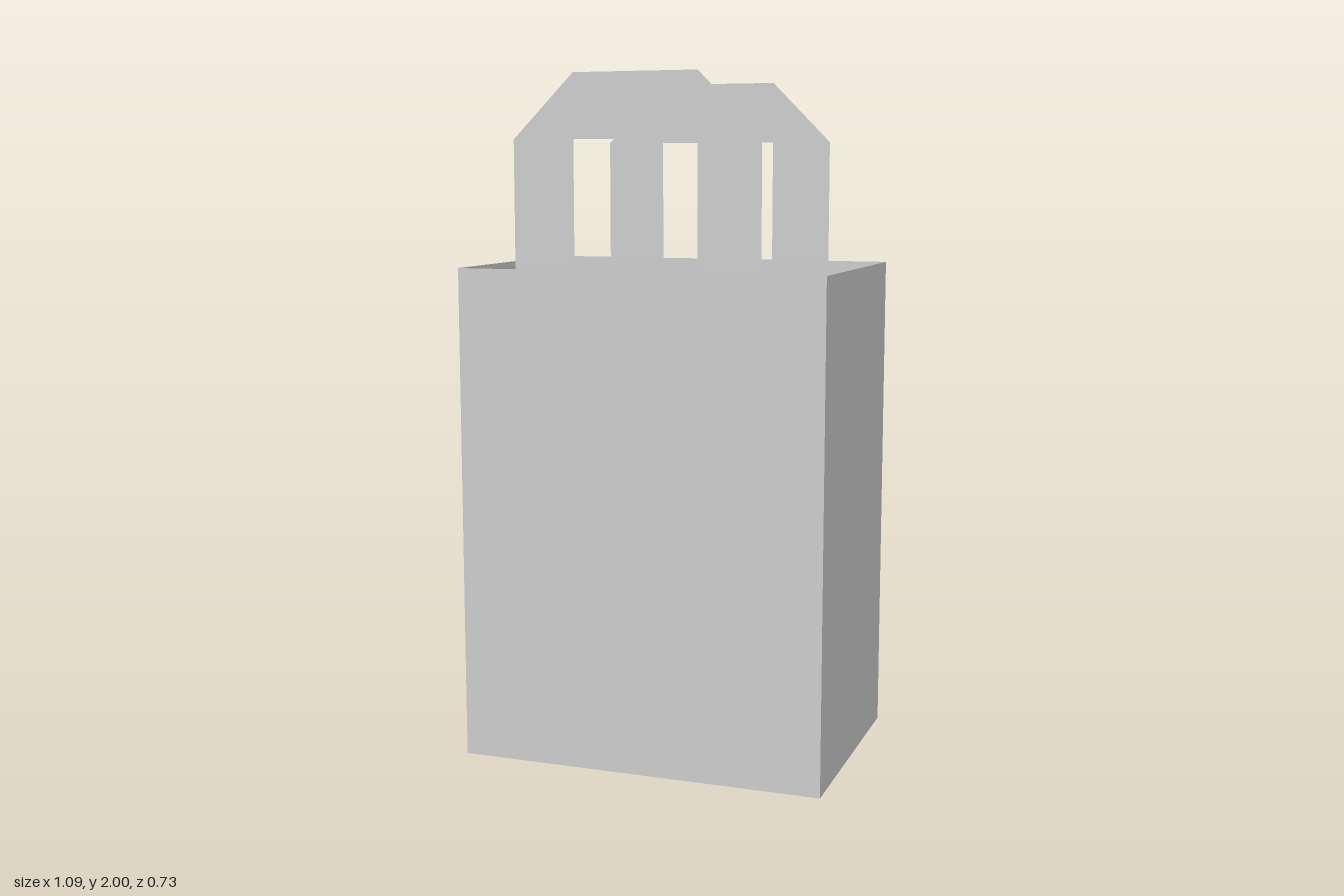
import * as THREE from 'three';

const U = 2 / 11; // paper grid unit
const W = 6 * U, D = 4 * U, H = 8 * U;

export function createModel() {
  const bag = new THREE.Group();
  bag.name = 'paperBag';
  const paper = new THREE.MeshStandardMaterial({
    color: 0xcccccc, flatShading: true, side: THREE.DoubleSide,
  });

  const add = (parent, name, geometry) => {
    const mesh = new THREE.Mesh(geometry, paper);
    mesh.name = name;
    parent.add(mesh);
    return mesh;
  };

  // Handle outline: two straps joined by a bar with chamfered corners
  const handleShape = new THREE.Shape([
    [-2, 8], [-1, 8], [-1, 10], [1, 10], [1, 8], [2, 8],
    [2, 10], [1, 11], [-1, 11], [-2, 10],
  ].map(([x, y]) => new THREE.Vector2(x * U, y * U)));

  // Front and back: wide panel with a handle in the same plane
  for (const [side, s] of [['front', 1], ['back', -1]]) {
    const group = new THREE.Group();
    group.name = side;
    add(group, side + 'Panel', new THREE.PlaneGeometry(W, H)).position.y = H / 2;
    add(group, side + 'Handle', new THREE.ShapeGeometry(handleShape));
    group.position.z = s * D / 2;
    group.rotation.y = s > 0 ? 0 : Math.PI;
    bag.add(group);
  }

  // Narrow side panels
  for (const [side, s] of [['left', 1], ['right', -1]]) {
    const panel = add(bag, side + 'Panel', new THREE.PlaneGeometry(D, H));
    panel.position.set(s * W / 2, H / 2, 0);
    panel.rotation.y = s * Math.PI / 2;
  }

  // Bottom, facing down; the top stays open
  add(bag, 'bottom', new THREE.PlaneGeometry(W, D)).rotation.x = Math.PI / 2;

  return bag;
}
